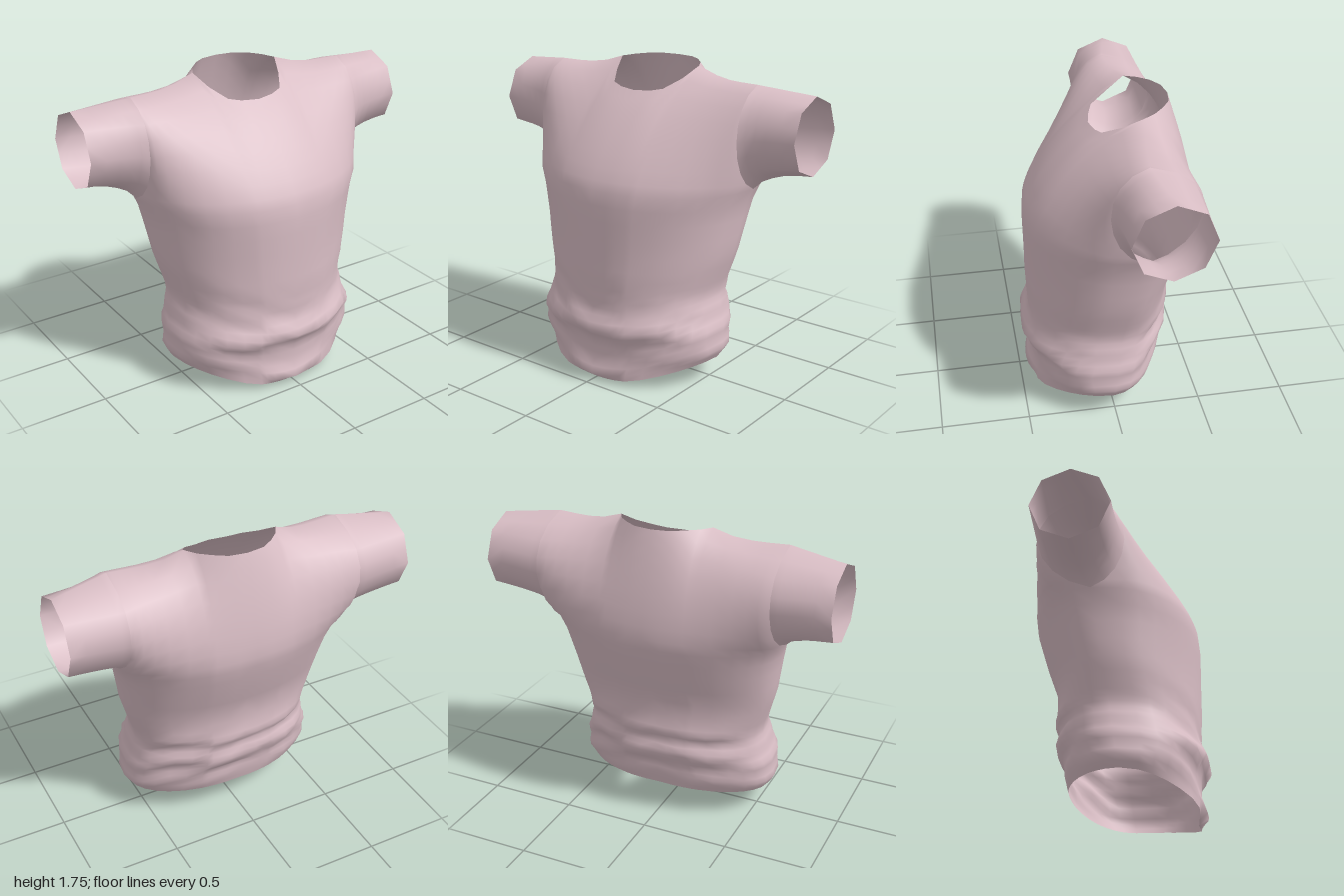
import * as THREE from 'three';
import { mergeVertices } from 'three/addons/utils/BufferGeometryUtils.js';

// piecewise linear lookup: rows are [key, value, value, ...]
function look(rows, k, col) {
  if (k <= rows[0][0]) return rows[0][col];
  for (let i = 1; i < rows.length; i++) {
    const a = rows[i - 1], b = rows[i];
    if (k <= b[0]) return a[col] + (b[col] - a[col]) * (k - a[0]) / (b[0] - a[0]);
  }
  return rows[rows.length - 1][col];
}

// torso: height, half width, front z, back z (folds gather near the hem)
const TORSO = [
  [0.0, 0.5, 0.405, -0.28], [0.04, 0.53, 0.46, -0.28], [0.13, 0.555, 0.425, -0.29],
  [0.2, 0.6, 0.425, -0.31], [0.26, 0.585, 0.43, -0.325], [0.33, 0.588, 0.487, -0.325],
  [0.38, 0.56, 0.455, -0.36], [0.43, 0.555, 0.43, -0.38], [0.5, 0.53, 0.435, -0.35],
  [0.56, 0.54, 0.435, -0.385], [0.62, 0.558, 0.44, -0.37], [0.75, 0.6, 0.44, -0.37],
  [0.95, 0.632, 0.442, -0.44], [1.05, 0.65, 0.442, -0.47], [1.12, 0.68, 0.434, -0.49],
];
// roundness of the cross-section: level, front exponent, back exponent (2 is an ellipse)
const ROUND = [[0, 2, 1.9], [0.1, 2.25, 2.05], [0.4, 2.25, 2.05], [0.8, 2, 2], [1.12, 2.15, 2.15]];
const TOP = 1.12, SIDE = 0.68;
const LEVELS = [0, 0.04, 0.08, 0.12, 0.16, 0.2, 0.24, 0.28, 0.32, 0.36, 0.4, 0.44, 0.48,
  0.52, 0.56, 0.62, 0.68, 0.76, 0.85, 0.95, 1.04, TOP];
const STATIONS = [0, 0.1, 0.17, 0.23, 0.27, 0.38, 0.48, 0.56, 0.62, 0.66, SIDE];

// neckline and shoulder: x, front edge y, z, back edge y, z
const EDGE = [
  [0, 1.61, 0.065, 1.75, -0.37], [0.1, 1.615, 0.045, 1.75, -0.355], [0.17, 1.63, 0.02, 1.75, -0.31],
  [0.23, 1.68, -0.08, 1.745, -0.25], [0.27, 1.74, -0.18, 1.74, -0.18], [0.38, 1.705, -0.17, 1.705, -0.17],
  [0.5, 1.688, -0.15, 1.688, -0.15], [SIDE, 1.69, -0.13, 1.69, -0.13],
];
// curve handles of the upper body: x, front lower z, front upper y, z, back lower z, back upper y, z
const HANDLES = [
  [0, 0.405, 1.5, 0.2, -0.52, 1.57, -0.43], [0.17, 0.39, 1.53, 0.17, -0.515, 1.6, -0.42],
  [0.27, 0.37, 1.58, 0.13, -0.51, 1.64, -0.42], [0.4, 0.32, 1.6, 0.12, -0.5, 1.64, -0.44],
  [0.55, 0.22, 1.61, 0.13, -0.49, 1.63, -0.49], [SIDE, 0.11, 1.62, 0.14, -0.46, 1.62, -0.56],
];
const ARC = 8;

// point on the torso at fraction u of the half width, front or back
function torsoPoint(level, u, front, s) {
  const hem = front ? 0.14 * Math.pow(u, 1.6) : 0.14 + 0.045 * (1 - u);
  const y = level + hem * Math.max(0, 1 - level / 0.7);
  // folds wander up and down around the body
  const fade = THREE.MathUtils.clamp((0.75 - y) / 0.3, 0, 1) * Math.min(1, level / 0.12);
  const wave = fade * u * (front ? 1 : 1.4);
  const k = y + wave * (0.03 * Math.sin(7 * s * u + 0.6) - 0.02 * Math.sin(11 * u));
  const ripple = 0.011 * wave * Math.sin(9 * s * u + 40 * y);
  const zc = 0.04 - 0.16 * (y / TOP);
  const depth = look(TORSO, k, front ? 2 : 3) - zc;
  const p = look(ROUND, level, front ? 1 : 2);
  const z = zc + (depth + ripple) * Math.pow(Math.max(0, 1 - Math.pow(u, p)), 1 / p);
  return [s * u * look(TORSO, y, 1), y, z];
}

// curve from the chest (or back) up to the neckline or shoulder
function upperArc(x, front, s) {
  const h = front ? 1 : 4, e = front ? 1 : 3;
  const lowY = 1.25 - 0.05 * Math.max(0, (x - 0.6) / 0.08);
  const curve = new THREE.CubicBezierCurve3(
    new THREE.Vector3(...torsoPoint(TOP, x / SIDE, front, s)),
    new THREE.Vector3(s * x, lowY, look(HANDLES, x, h)),
    new THREE.Vector3(s * x, look(HANDLES, x, h + 1), look(HANDLES, x, h + 2)),
    new THREE.Vector3(s * x, look(EDGE, x, e), look(EDGE, x, e + 1)));
  return curve.getPoints(ARC).map(p => p.toArray());
}

// triangles of a grid of points, turned over on the mirrored side
function addPatch(out, cols, s) {
  for (let i = 0; i + 1 < cols.length; i++) {
    for (let j = 0; j + 1 < cols[i].length; j++) {
      const a = cols[i][j], b = cols[i + 1][j], c = cols[i + 1][j + 1], d = cols[i][j + 1];
      const tris = s > 0 ? [a, b, c, a, c, d] : [a, c, b, a, d, c];
      for (const p of tris) out.push(...p);
    }
  }
}

function smoothMesh(positions, material, name) {
  let g = new THREE.BufferGeometry();
  g.setAttribute('position', new THREE.Float32BufferAttribute(positions, 3));
  g = mergeVertices(g, 1e-4);
  g.computeVertexNormals();
  const mesh = new THREE.Mesh(g, material);
  mesh.name = name;
  return mesh;
}

export function createModel() {
  const group = new THREE.Group();
  group.name = 'shirt';
  const cloth = new THREE.MeshStandardMaterial({ color: 0xd9bec5, side: THREE.DoubleSide });
  cloth.name = 'pale pink cloth';

  const body = [];
  for (const s of [1, -1]) {
    const back = [...STATIONS].reverse();

    // lower torso, from front centre round the side to back centre
    const column = (x, front) => LEVELS.map(l => torsoPoint(l, x / SIDE, front, s));
    addPatch(body, [...STATIONS.map(x => column(x, true)), ...back.slice(1).map(x => column(x, false))], s);

    // chest and upper back, leaving the neck open
    addPatch(body, STATIONS.map(x => upperArc(x, true, s)), s);
    addPatch(body, back.map(x => upperArc(x, false, s)), s);

    // sleeve, from the armhole ring to an eight-sided cuff;
    // the underarm and front narrow quickly, the top and back evenly
    const hole = [...upperArc(SIDE, true, s), ...upperArc(SIDE, false, s).reverse().slice(1)];
    const sleeve = [];
    const steps = [[SIDE, 0], [0.72, 0.4], [0.77, 0.62], [0.83, 0.8], [0.91, 0.93], [1, 1]];
    const cuff = j => {
      const a = j / 8 * Math.PI * 2;
      return [1.442 - 0.216 * Math.cos(a), -0.193 + 0.216 * Math.sin(a)];
    };
    addPatch(sleeve, steps.map(([x, fast]) => hole.map((p, j) => {
      const a = j / (2 * ARC) * Math.PI * 2;
      const even = (x - SIDE) / (1 - SIDE);
      const m = THREE.MathUtils.clamp(0.5 - 0.5 * Math.cos(a) - 0.4 * Math.sin(a), 0, 1);
      const k = fast + (even - fast) * m;
      const c0 = cuff(Math.floor(j / 2)), c1 = cuff(Math.ceil(j / 2));
      const y = (c0[0] + c1[0]) / 2, z = (c0[1] + c1[1]) / 2;
      return [s * x, p[1] + (y - p[1]) * k, p[2] + (z - p[2]) * k];
    })), s);
    group.add(smoothMesh(sleeve, cloth, s > 0 ? 'leftSleeve' : 'rightSleeve'));
  }
  group.add(smoothMesh(body, cloth, 'body'));
  return group;
}
